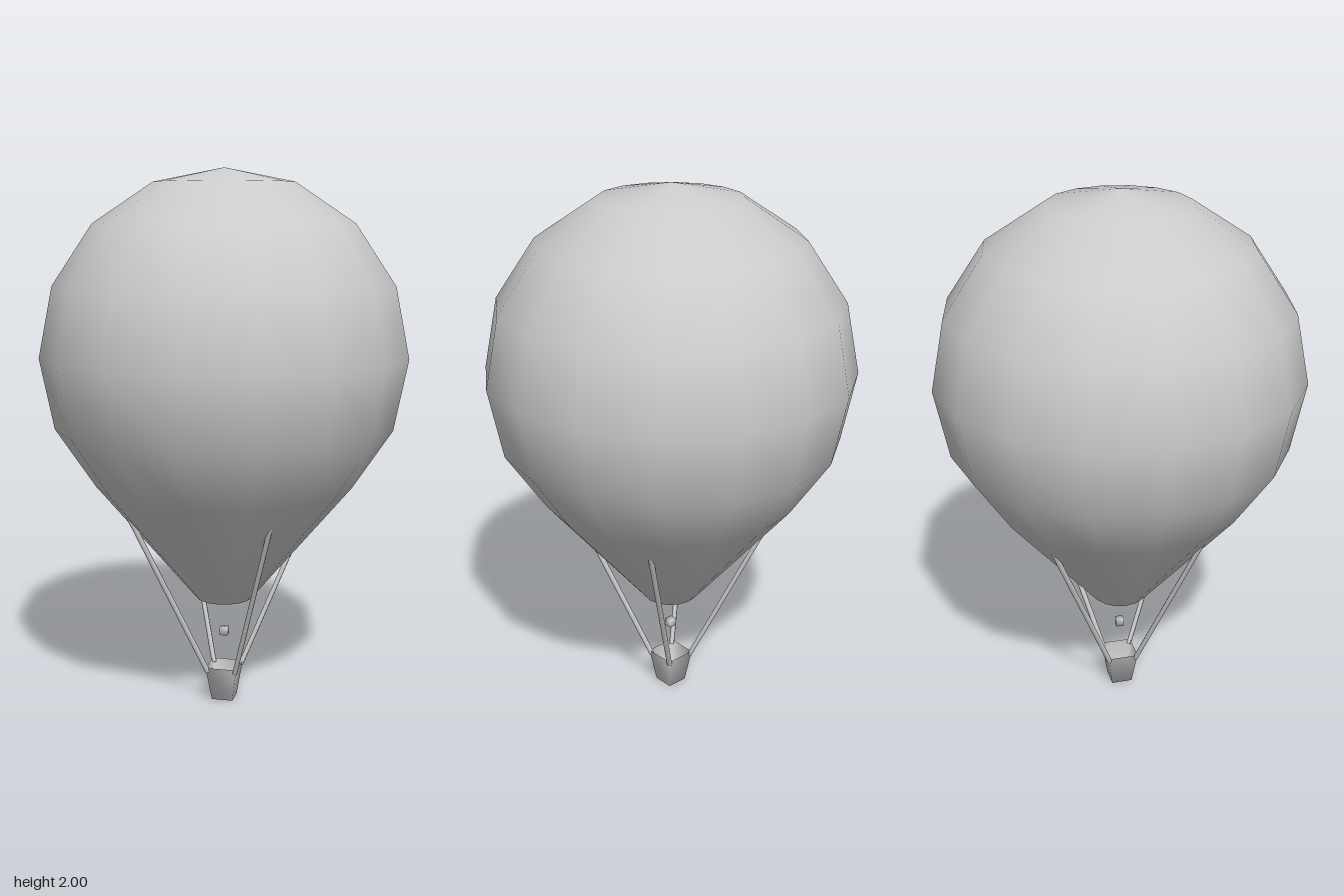
import * as THREE from 'three';
import { mergeVertices } from 'three/addons/utils/BufferGeometryUtils.js';

const material = new THREE.MeshStandardMaterial({ color: 0xcccccc });
const openMaterial = new THREE.MeshStandardMaterial({ color: 0xcccccc, side: THREE.DoubleSide });

function addMesh(parent, name, geometry, mat = material) {
  const mesh = new THREE.Mesh(geometry, mat);
  mesh.name = name;
  parent.add(mesh);
  return mesh;
}

// Round bar between two points
function addBar(parent, name, from, to, radius) {
  const dir = to.clone().sub(from);
  const bar = addMesh(parent, name, new THREE.CylinderGeometry(radius, radius, dir.length(), 6));
  bar.position.copy(from).add(to).multiplyScalar(0.5);
  bar.quaternion.setFromUnitVectors(new THREE.Vector3(0, 1, 0), dir.normalize());
  return bar;
}

export function createModel() {
  const balloon = new THREE.Group();
  balloon.name = 'hotAirBalloon';

  // Envelope: open mouth, straight cone, then a 16-sided sphere
  const radius = 0.677, centreY = 1.323, sides = 16;
  const profile = [new THREE.Vector2(0.104, 0.4)];
  for (let i = 2; i <= 8; i++) {
    const a = (i * Math.PI) / 8;
    profile.push(new THREE.Vector2(Math.max(0, radius * Math.sin(a)), centreY - radius * Math.cos(a)));
  }
  addMesh(balloon, 'envelope', new THREE.LatheGeometry(profile, sides), openMaterial);

  // Basket: tapered square tub, open at the top
  const diagonal = Math.SQRT2;
  const tub = [[0, 0], [0.04 * diagonal, 0], [0.06 * diagonal, 0.13]].map(([x, y]) => new THREE.Vector2(x, y));
  addMesh(balloon, 'basket', new THREE.LatheGeometry(tub, 4, Math.PI / 4), openMaterial);

  // Burner: small softly shaded cube hanging above the basket
  let cube = new THREE.BoxGeometry(0.03, 0.03, 0.03);
  cube.deleteAttribute('normal');
  cube.deleteAttribute('uv');
  cube = mergeVertices(cube);
  cube.computeVertexNormals();
  addMesh(balloon, 'burner', cube).position.y = 0.265;

  // Ropes: four, each a quarter turn on from the last
  const up = new THREE.Vector3(0, 1, 0);
  for (let i = 0; i < 4; i++) {
    const turn = (i * Math.PI) / 2;
    const foot = new THREE.Vector3(0.053, 0.115, 0.053).applyAxisAngle(up, turn);
    const head = new THREE.Vector3(0.235, 0.755, 0.305).applyAxisAngle(up, turn);
    addBar(balloon, 'rope' + (i + 1), foot, head, 0.01);
  }
  return balloon;
}
